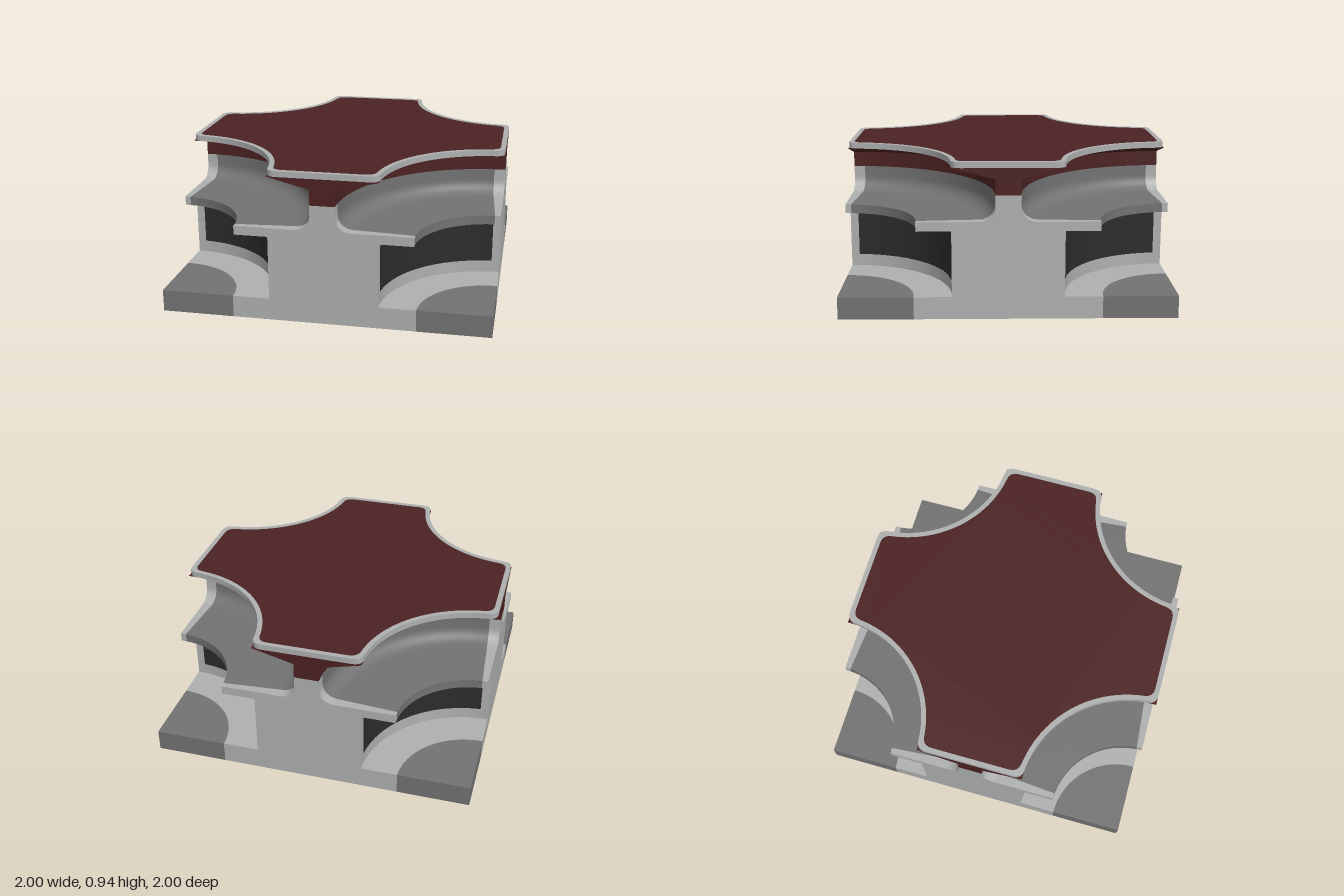
import * as THREE from 'three';

const mat = (name, color) => {
  const m = new THREE.MeshStandardMaterial({ color, side: THREE.DoubleSide });
  m.name = name;
  return m;
};

export function createModel() {
  const light = mat('light grey', 0xaeb0af);
  const grey = mat('mid grey', 0x727272);
  const black = mat('charcoal', 0x2c2c2c);
  const red = mat('dark red', 0x4c2223);

  const model = new THREE.Group();
  model.name = 'crossBlock';
  const add = (parent, name, geometry, material) => {
    const mesh = new THREE.Mesh(geometry, material);
    mesh.name = name;
    parent.add(mesh);
    return mesh;
  };

  // Scoop profile: radius from the block's corner, height
  const scoop = [[0.925, 0.74], [0.925, 0.7]];
  for (let i = 0; i <= 8; i++) {
    const a = (i / 8) * Math.PI / 2;
    scoop.push([0.835 + 0.09 * Math.cos(a), 0.67 - 0.085 * Math.sin(a)]);
  }
  scoop.push([0.8, 0.585], [0.465, 0.585]);

  // Bands of each corner cutout from top to bottom; the inner colour leaves narrow light ends
  const bands = [
    ['canopyUnderside', [[0.67, 0.9], [0.925, 0.835]], red, red],
    ['redBand', [[0.925, 0.835], [0.925, 0.74]], red, red],
    ['scoop', scoop, grey, light],
    ['shelfEdge', [[0.465, 0.585], [0.465, 0.53]], grey, light],
    ['shelfUnderside', [[0.465, 0.53], [0.67, 0.53]], light, light],
    ['drumWall', [[0.67, 0.53], [0.67, 0.21]], black, light],
    ['drumFoot', [[0.67, 0.21], [0.67, 0.135]], light, light],
    ['baseRing', [[0.67, 0.135], [0.445, 0.135]], light, light],
    ['baseCorner', [[0.445, 0.135], [0, 0.135]], grey, grey],
  ];
  const END = 0.075;
  const sector = (points, start, length, segments) => new THREE.LatheGeometry(
    points.map(([r, y]) => new THREE.Vector2(r, y)), segments, Math.PI + start, length);

  // Flat outline mirrored about x = 0
  const mirrored = (half) => new THREE.ShapeGeometry(new THREE.Shape(
    [...half, ...half.map(([x, y]) => [-x, y]).reverse()].map(([x, y]) => new THREE.Vector2(x, y))));
  const wall = [[0.555, 0], [0.555, 0.135], [0.33, 0.135], [0.33, 0.53], [0.535, 0.53],
    ...scoop.map(([r, y]) => [1 - r, y]).reverse()];
  const redWall = [[0.075, 0.74], [0.075, 0.835], [0.33, 0.9]];

  for (let k = 0; k < 4; k++) {
    const quarter = new THREE.Group();
    quarter.name = 'quarter' + (k + 1);
    quarter.rotation.y = k * Math.PI / 2;
    model.add(quarter);

    // Corner cutout
    const corner = new THREE.Group();
    corner.name = 'cornerCutout';
    corner.position.set(1, 0, 1);
    quarter.add(corner);
    for (const [name, points, main, end] of bands) {
      if (main === end) {
        add(corner, name, sector(points, 0, Math.PI / 2, 32), main);
      } else {
        add(corner, name, sector(points, END, Math.PI / 2 - 2 * END, 28), main);
        add(corner, name + 'EndA', sector(points, 0, END, 2), end);
        add(corner, name + 'EndB', sector(points, Math.PI / 2 - END, END, 2), end);
      }
    }

    // Flat side wall, with the grey ends of the base
    add(quarter, 'sideWall', mirrored(wall), light).position.z = 1;
    add(quarter, 'sideRedWall', mirrored(redWall), red).position.z = 1;
    for (const s of [-1, 1]) {
      add(quarter, 'baseEnd', new THREE.PlaneGeometry(0.445, 0.135), grey)
        .position.set(s * 0.7775, 0.0675, 1);
    }
  }

  // Cross outline of the top: four concave arcs with rounded tips
  const outline = (inset) => {
    const R = 0.67 + inset, edge = 1 - inset, round = 0.06;
    const start = Math.asin(inset / R) + round / R;
    const side = [];
    const tip = new THREE.QuadraticBezierCurve(
      new THREE.Vector2(1 - R * Math.cos(start), 1 - R * Math.sin(start)),
      new THREE.Vector2(1 - R, edge),
      new THREE.Vector2(1 - R - round, edge)).getPoints(6);
    side.push(...tip.map((p) => new THREE.Vector2(p.y, p.x)).reverse());
    for (let i = 1; i < 28; i++) {
      const a = Math.PI / 2 - start - (i / 28) * (Math.PI / 2 - 2 * start);
      side.push(new THREE.Vector2(1 - R * Math.cos(a), 1 - R * Math.sin(a)));
    }
    side.push(...tip);
    const points = [];
    for (let k = 0; k < 4; k++) {
      points.push(...side.map((p) => p.clone().rotateAround(new THREE.Vector2(), k * Math.PI / 2)));
    }
    return points;
  };

  // Light rim around the top
  const rimShape = new THREE.Shape(outline(0));
  rimShape.holes.push(new THREE.Path(outline(0.03)));
  const rim = new THREE.ExtrudeGeometry(rimShape, { depth: 0.035, bevelEnabled: false });
  rim.rotateX(-Math.PI / 2);
  add(model, 'topRim', rim, light).position.y = 0.9;

  // Red top surface
  const top = new THREE.ShapeGeometry(new THREE.Shape(outline(0.03)));
  top.rotateX(-Math.PI / 2);
  add(model, 'topSurface', top, red).position.y = 0.932;

  return model;
}
